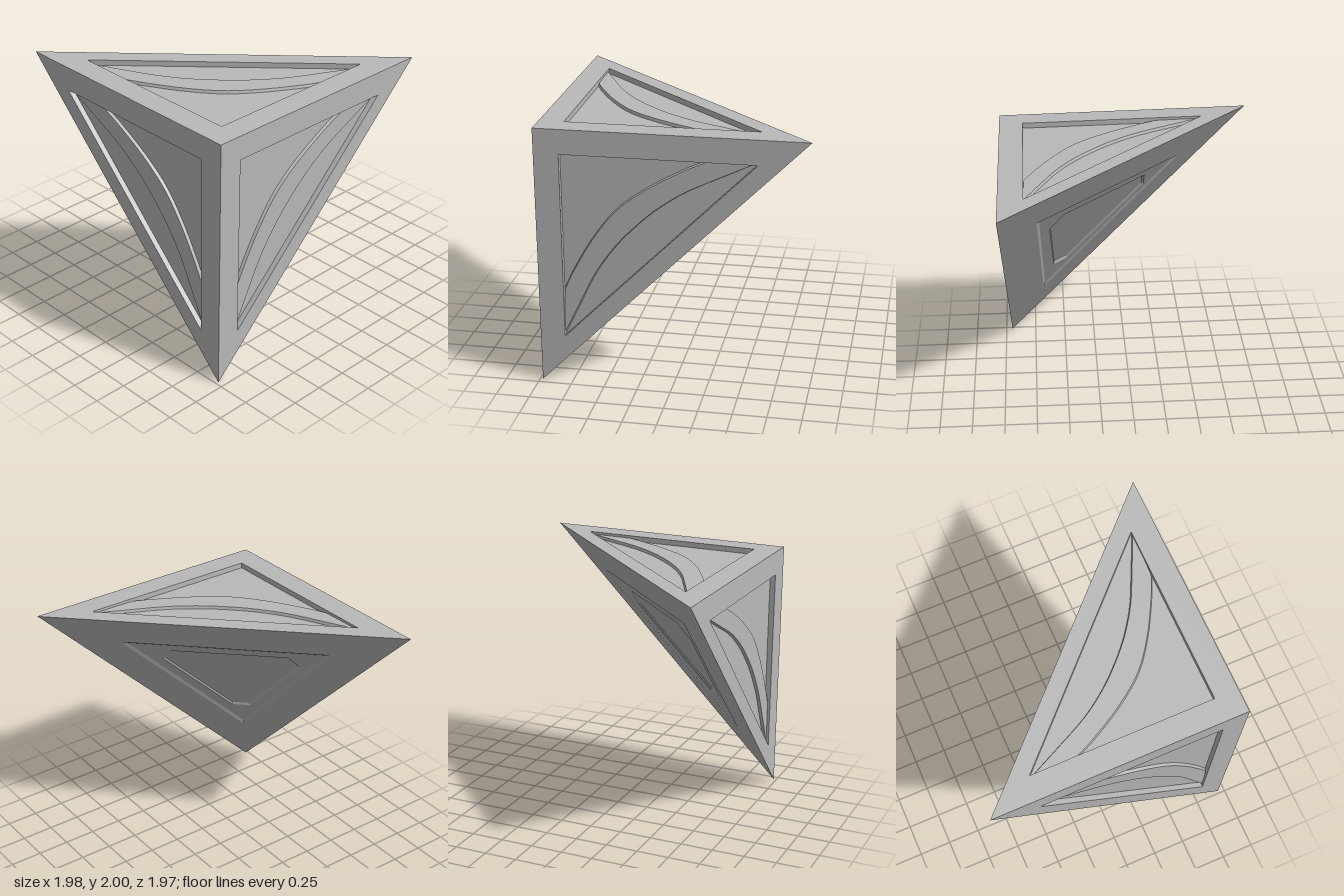
import * as THREE from 'three';

const V2 = (x, y) => new THREE.Vector2(x, y);
const V3 = (x, y, z) => new THREE.Vector3(x, y, z);
const loop = (...pairs) => pairs.map(([x, y]) => V2(x, y));

// Flat surface inside an outline, at local height h
function sheet(outline, hole, h) {
  const shape = new THREE.Shape(outline);
  if (hole) shape.holes.push(new THREE.Path(hole));
  return new THREE.ShapeGeometry(shape).translate(0, 0, h);
}

// Strip joining two matching loops; faces inward when the first loop is the higher one
function wall(a, ha, b, hb) {
  const pos = [];
  a.forEach((p, i) => {
    const j = (i + 1) % a.length;
    const q = a[j], r = b[j], s = b[i];
    pos.push(p.x, p.y, ha, q.x, q.y, ha, s.x, s.y, hb);
    pos.push(q.x, q.y, ha, r.x, r.y, hb, s.x, s.y, hb);
  });
  const g = new THREE.BufferGeometry();
  g.setAttribute('position', new THREE.Float32BufferAttribute(pos, 3));
  g.computeVertexNormals();
  return g;
}

// Curve symmetric about the diagonal, given one half of its points
function symmetricCurve(half, n) {
  const mirrored = half.slice(0, -1).reverse().map(([x, y]) => [y, x]);
  return new THREE.SplineCurve(loop(...half, ...mirrored)).getPoints(n);
}

export function createModel() {
  const model = new THREE.Group();
  model.name = 'cornerPiece';
  const grey = new THREE.MeshStandardMaterial({ color: 0xb9b9b9 });
  grey.name = 'grey';

  // Tips of the tetrahedral corner
  const corner = V3(-0.98, 1.97, 0.98);
  const bottomTip = V3(-0.98, 0, 0.95);
  const rightTip = V3(0.99, 1.97, 0.977);
  const backTip = V3(-0.99, 2, -0.99);

  // Places local parts on a face by its own axes
  function addFace(name, origin, u, v, parts) {
    const n = u.clone().cross(v).normalize();
    const m = new THREE.Matrix4().makeBasis(u, v, n).setPosition(origin);
    const group = new THREE.Group();
    group.name = name;
    for (const [part, geometry] of Object.entries(parts)) {
      const mesh = new THREE.Mesh(geometry.applyMatrix4(m), grey);
      mesh.name = part;
      group.add(mesh);
    }
    model.add(group);
  }

  // Three outer faces: frame, sunken triangle and raised curved band
  const L = 1.97, floor = -0.042, bandTop = -0.02;
  const edge = loop([0, 0], [L, 0], [0, L]);
  const recess = loop([0.185, 0.185], [1.6, 0.185], [0.185, 1.6]);
  const outer = symmetricCurve(
    [[1.585, 0.185], [1.345, 0.3], [1.085, 0.43], [0.875, 0.575], [0.718, 0.718]], 40);
  const inner = symmetricCurve(
    [[1.23, 0.185], [1.07, 0.26], [0.81, 0.41], [0.585, 0.585]], 40);
  const band = [...outer, ...inner.reverse()];
  const bandCrown = [...outer.map(p => V2(p.x - 0.005, p.y - 0.005)),
    ...inner.map(p => V2(p.x + 0.005, p.y + 0.005))];

  const faces = [
    ['frontFace', bottomTip, rightTip],
    ['topFace', rightTip, backTip],
    ['sideFace', backTip, bottomTip],
  ];
  for (const [name, a, b] of faces) {
    addFace(name, corner,
      a.clone().sub(corner).divideScalar(L), b.clone().sub(corner).divideScalar(L), {
        frame: sheet(edge, recess, 0),
        recessWall: wall(recess, 0, recess, floor),
        recessFloor: sheet(recess, null, floor),
        bandSides: wall(band, floor, bandCrown, bandTop),
        bandSurface: sheet(bandCrown, null, bandTop),
      });
  }

  // Slanted inner face: shallow triangular step with a clipped pocket inside
  const step = -0.012, pocketDepth = -0.024;
  const slant = loop([-0.95, 0], [0.99, 2], [-0.977, 1.97]);
  const well = loop([-0.67, 0.53], [0.44, 1.705], [-0.705, 1.69]);
  const wellBase = loop([-0.65, 0.575], [0.395, 1.682], [-0.68, 1.668]);
  const pocket = loop([-0.575, 0.835], [-0.465, 0.835], [0.157, 1.478],
    [0.157, 1.608], [-0.493, 1.595], [-0.603, 1.473]);
  const pocketBase = loop([-0.565, 0.85], [-0.471, 0.85], [0.145, 1.484],
    [0.145, 1.593], [-0.486, 1.58], [-0.589, 1.467]);
  addFace('slantedFace', V3(-1.949, 0, 0), V3(-1.02, 0, -1), V3(0.9845, 1, 0), {
    frame: sheet(slant, well, 0),
    stepWall: wall(well, 0, wellBase, step),
    stepFloor: sheet(wellBase, pocket, step),
    pocketWall: wall(pocket, step, pocketBase, pocketDepth),
    pocketFloor: sheet(pocketBase, null, pocketDepth),
  });

  return model;
}
